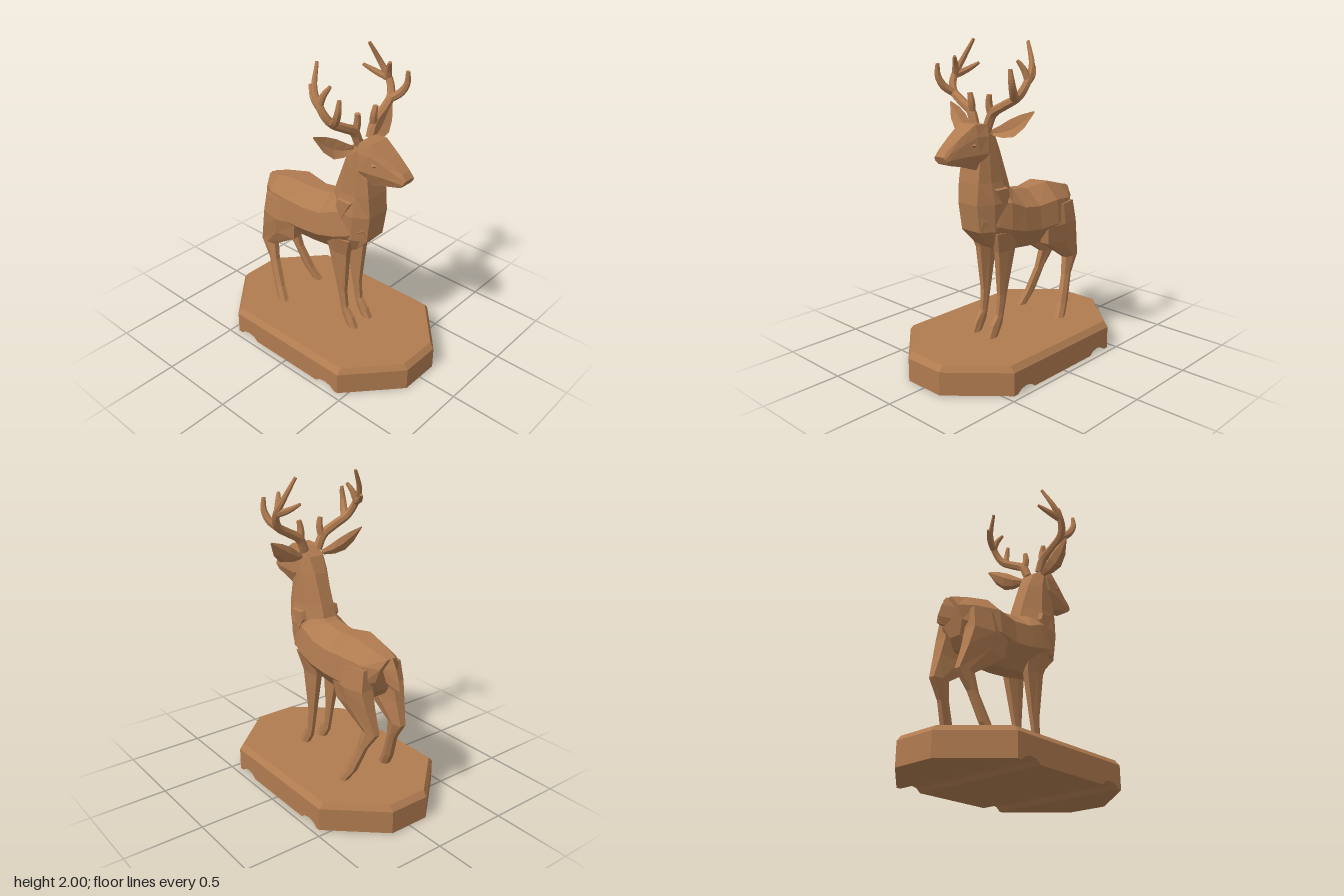
import * as THREE from 'three';

const wood = new THREE.MeshStandardMaterial({ color: 0xb07b50, flatShading: true });
wood.name = 'carved wood';
const V = (x, y, z) => new THREE.Vector3(x, y, z);

// Closed skin through equal-sized rings of points, with end caps, facing outwards
function loft(rings) {
  const n = rings[0].length, tris = [];
  for (let i = 0; i < rings.length - 1; i++) {
    for (let j = 0; j < n; j++) {
      const k = (j + 1) % n, a = rings[i][j], b = rings[i][k], c = rings[i + 1][k], d = rings[i + 1][j];
      tris.push([a, b, c], [a, c, d]);
    }
  }
  const first = rings[0], last = rings[rings.length - 1];
  for (let j = 1; j < n - 1; j++) {
    tris.push([first[0], first[j + 1], first[j]], [last[0], last[j], last[j + 1]]);
  }
  let volume = 0;
  for (const [a, b, c] of tris) volume += a.dot(b.clone().cross(c));
  const pos = [];
  for (const [a, b, c] of tris) for (const p of volume > 0 ? [a, b, c] : [a, c, b]) pos.push(p.x, p.y, p.z);
  const g = new THREE.BufferGeometry();
  g.setAttribute('position', new THREE.Float32BufferAttribute(pos, 3));
  g.computeVertexNormals();
  return g;
}

// Upright octagonal section: top and bottom depth, heights, half widths
function section([zt, zb, yt, yb, tw, w, bw]) {
  const half = [[tw, 1], [w * 0.9, 0.74], [w, 0.35], [bw, 0]];
  const p = (x, t, s) => V(x * s, yb + (yt - yb) * t, zb + (zt - zb) * t);
  return [...half.map(([x, t]) => p(x, t, 1)), ...half.reverse().map(([x, t]) => p(x, t, -1))];
}

// Level section of the neck: height, back and front depth, half widths
function neckSection([y, zb, zf, bw, w, fw]) {
  const d = zf - zb;
  return [V(bw, y, zb), V(w, y, zb + d * 0.4), V(w * 0.97, y, zb + d * 0.72), V(fw, y, zf),
    V(-fw, y, zf), V(-w * 0.97, y, zb + d * 0.72), V(-w, y, zb + d * 0.4), V(-bw, y, zb)];
}

// Six-sided level section of a leg
function legSection(s, [y, zb, zf, xi, xo]) {
  const m = (xi + xo) / 2, h = (xo - xi) * 0.3, zm = (zb + zf) / 2;
  return [[m - h, zf], [m + h, zf], [xo, zm], [m + h, zb], [m - h, zb], [xi, zm]].map(([x, z]) => V(x * s, y, z));
}

// Tapering branch along a curve
function branch(s, points, r0, r1) {
  const curve = new THREE.CatmullRomCurve3(points.map(([x, y, z]) => V(x * s, y, z)));
  const steps = points.length * 4, f = curve.computeFrenetFrames(steps), rings = [];
  for (let i = 0; i <= steps; i++) {
    const t = i / steps, c = curve.getPointAt(t), r = r0 + (r1 - r0) * t * t;
    rings.push(Array.from({ length: 7 }, (_, j) => {
      const a = j / 7 * Math.PI * 2;
      return c.clone().addScaledVector(f.normals[i], Math.cos(a) * r).addScaledVector(f.binormals[i], Math.sin(a) * r);
    }));
  }
  return loft(rings);
}

export function createModel() {
  const model = new THREE.Group();
  model.name = 'stag statue';
  const add = (name, geometry, parent = model) => {
    const m = new THREE.Mesh(geometry, wood);
    m.name = name;
    parent.add(m);
  };

  // Plinth: chamfered octagon with two shallow arches across the underside
  const half = [[0, 0], [0.27, 0], [0.3, 0.024], [0.345, 0.033], [0.39, 0.024], [0.42, 0], [0.45, 0], [0.71, 0], [0.74, 0]];
  const stations = [...half.slice(1).reverse().map(([z, y]) => [-z, y]), ...half];
  add('plinth', loft(stations.map(([z, yb]) => {
    const d = Math.abs(z), w = d > 0.45 ? 0.46 - (d - 0.45) * 0.325 / 0.29 : 0.46;
    const top = d > 0.72 ? 0.146 : 0.18, i = d > 0.72 ? 0.005 : 0.03;
    return [[-w, yb], [w, yb], [w, 0.145], [w - i, top], [i - w, top], [-w, 0.145]].map(([x, y]) => V(x, y, z));
  })));

  // Trunk
  add('trunk', loft([
    [-0.54, -0.47, 1.02, 0.8, 0.03, 0.08, 0.04],
    [-0.44, -0.42, 1.05, 0.74, 0.05, 0.145, 0.06],
    [-0.27, -0.27, 1.09, 0.7, 0.065, 0.185, 0.07],
    [-0.12, -0.12, 1.07, 0.695, 0.045, 0.17, 0.06],
    [0.02, 0.02, 1.09, 0.71, 0.045, 0.172, 0.06],
    [0.12, 0.16, 1.15, 0.73, 0.05, 0.165, 0.06],
    [0.2, 0.25, 1.14, 0.78, 0.06, 0.14, 0.06],
    [0.31, 0.34, 1.1, 0.88, 0.08, 0.095, 0.075],
  ].map(section)));

  // Neck
  add('neck', loft([
    [0.88, 0.05, 0.34, 0.05, 0.13, 0.075],
    [1.05, 0.03, 0.363, 0.05, 0.14, 0.08],
    [1.18, 0.07, 0.353, 0.045, 0.115, 0.083],
    [1.37, 0.14, 0.325, 0.045, 0.1, 0.075],
    [1.47, 0.19, 0.33, 0.05, 0.09, 0.06],
  ].map(neckSection)));

  // Head with muzzle
  add('head', loft([
    [0.2, 0.23, 1.47, 1.34, 0.055, 0.085, 0.05],
    [0.265, 0.3, 1.522, 1.27, 0.07, 0.105, 0.06],
    [0.355, 0.35, 1.53, 1.262, 0.065, 0.095, 0.055],
    [0.46, 0.45, 1.463, 1.293, 0.05, 0.073, 0.05],
    [0.55, 0.545, 1.4, 1.315, 0.035, 0.056, 0.045],
    [0.58, 0.56, 1.365, 1.325, 0.035, 0.05, 0.04],
  ].map(section)));

  // Tail
  add('tail', loft([
    [1.02, -0.55, -0.5, 0.03], [0.96, -0.585, -0.51, 0.045], [0.88, -0.61, -0.535, 0.035], [0.835, -0.615, -0.565, 0.012],
  ].map(([y, zb, zf, w]) => [V(w, y, zf), V(0, y, zb), V(-w, y, zf), V(0, y, zf + 0.01)])));

  for (const [s, side] of [[1, 'left'], [-1, 'right']]) {
    // Legs
    add(side + 'FrontLeg', loft([
      [0.86, 0.04, 0.24, 0.04, 0.15], [0.73, 0.055, 0.2, 0.045, 0.115], [0.44, 0.115, 0.175, 0.048, 0.095],
      [0.31, 0.14, 0.187, 0.05, 0.09], [0.25, 0.155, 0.237, 0.048, 0.092], [0.18, 0.2, 0.27, 0.045, 0.097],
    ].map(r => legSection(s, r))));
    add(side + 'HindLeg', loft([
      [0.95, -0.46, -0.22, 0.05, 0.165], [0.82, -0.47, -0.19, 0.05, 0.19], [0.7, -0.5, -0.21, 0.06, 0.17],
      [0.555, -0.545, -0.425, 0.07, 0.135], [0.44, -0.465, -0.402, 0.09, 0.145],
      [0.27, -0.4, -0.33, 0.12, 0.175], [0.18, -0.34, -0.275, 0.14, 0.2],
    ].map(r => legSection(s, r))));

    // Shoulder point
    const tri = [[1.15, 0.275], [1.15, 0.155], [1.09, 0.135], [1.0, 0.19]];
    add(side + 'Shoulder', loft([[0.08, 1], [0.142, 0.8]].map(([x, k]) =>
      tri.map(([y, z]) => V(s * x, 1.08 + (y - 1.08) * k, 0.19 + (z - 0.19) * k)))));

    // Eye: small almond ridge on the cheek
    const eye = new THREE.OctahedronGeometry(1, 0);
    eye.scale(0.012, 0.014, 0.026);
    eye.translate(s * 0.086, 1.415, 0.385);
    add(side + 'Eye', eye);

    // Leaf-shaped ear, hollowed at the front
    const from = V(0.085, 1.47, 0.235), to = V(0.345, 1.61, 0.165), across = V(-0.5, 0.78, -0.3).normalize();
    const out = to.clone().sub(from).normalize().cross(across).normalize();
    add(side + 'Ear', loft([[0, 0.018, 0.018], [0.25, 0.042, 0.028], [0.5, 0.058, 0.03], [0.75, 0.045, 0.02], [1, 0.005, 0.003]].map(([t, w, d]) => {
      const c = from.clone().lerp(to, t);
      c.y -= 0.035 * Math.sin(t * Math.PI);
      return [[w, 0.4], [0, -0.15], [-w, 0.4], [-w * 0.5, -0.7], [w * 0.5, -0.7]].map(([u, v]) => {
        const p = c.clone().addScaledVector(across, u).addScaledVector(out, v * d);
        p.x *= s;
        return p;
      });
    })));

    // Antler: main beam and four tines
    const antler = new THREE.Group();
    antler.name = side + 'Antler';
    model.add(antler);
    add('beam', branch(s, [[0.05, 1.5, 0.245], [0.09, 1.585, 0.24], [0.175, 1.635, 0.235], [0.265, 1.69, 0.215],
      [0.298, 1.77, 0.175], [0.285, 1.86, 0.12], [0.22, 1.995, 0.08]], 0.03, 0.01), antler);
    add('browTine', branch(s, [[0.08, 1.58, 0.24], [0.072, 1.64, 0.25], [0.08, 1.695, 0.255]], 0.024, 0.016), antler);
    add('frontTine', branch(s, [[0.25, 1.675, 0.22], [0.285, 1.72, 0.275], [0.3, 1.78, 0.305], [0.295, 1.855, 0.312]], 0.026, 0.012), antler);
    add('middleTine', branch(s, [[0.297, 1.78, 0.165], [0.28, 1.84, 0.18], [0.255, 1.895, 0.21]], 0.022, 0.01), antler);
    add('backTine', branch(s, [[0.295, 1.78, 0.16], [0.265, 1.81, 0.09], [0.225, 1.85, 0.03]], 0.022, 0.009), antler);
  }
  return model;
}
